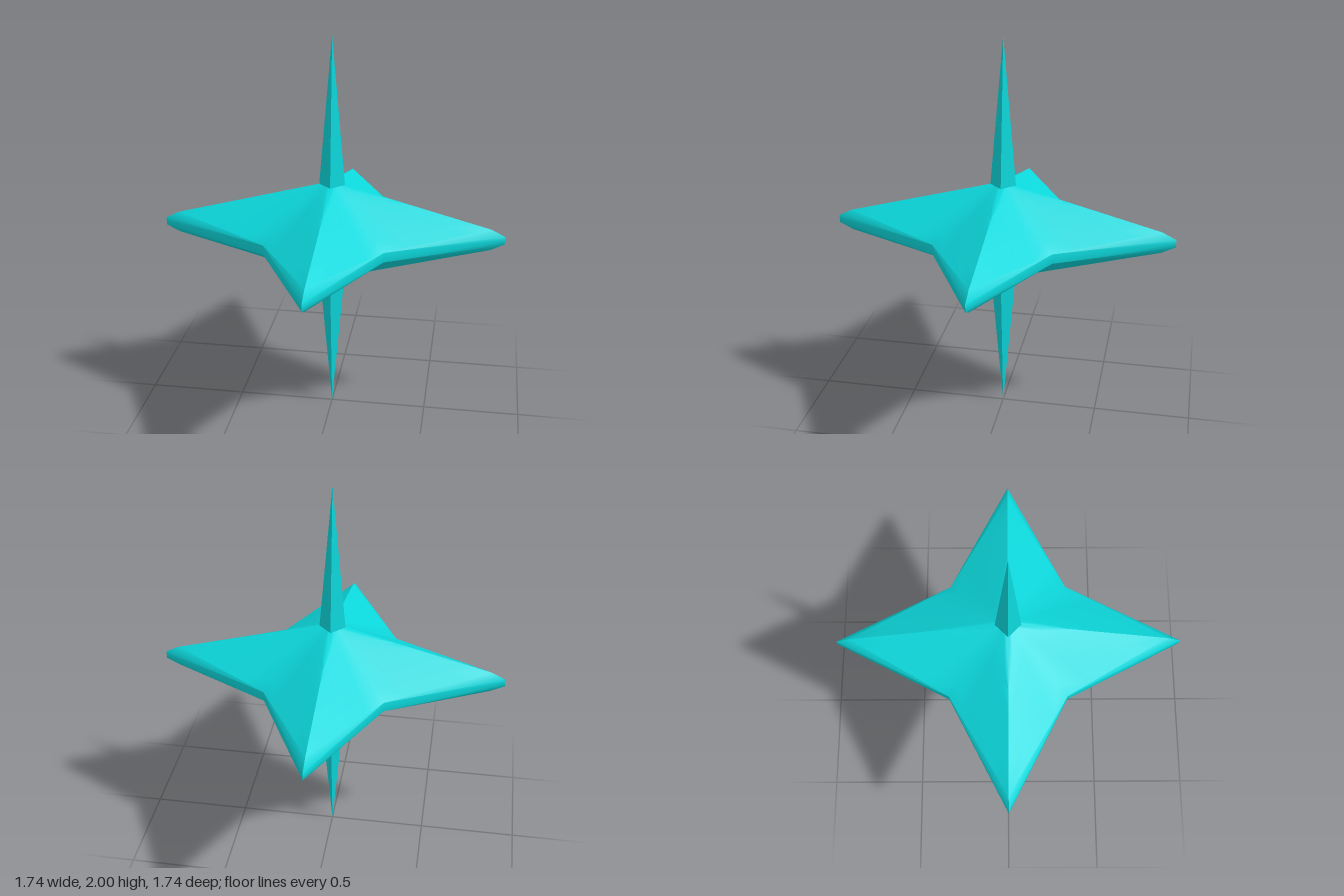
import * as THREE from 'three';
import { toCreasedNormals } from 'three/addons/utils/BufferGeometryUtils.js';

const V = (x, y, z) => new THREE.Vector3(x, y, z);
const mix = (a, b, t) => a.clone().lerp(b, t);

// One sixteenth of the star (heights relative to its middle plane), as a list of corners
function starSection() {
  const neck = V(0.065, 0.25, 0), neckMid = V(0.0325, 0.25, 0.0325);
  const ridge = V(0.8, 0.055, 0), tip = V(0.87, 0.02, 0), notch = V(0.295, 0.025, 0.295);
  const tip0 = V(0.87, 0, 0), notch0 = V(0.295, 0, 0.295);
  const out = [];
  const quad = (a, b, c, d) => out.push(a, b, d, b, c, d);

  // sloping face, slightly twisted between neck and rim
  const n = 6, m = 4;
  const at = (i, j) => mix(mix(neck, neckMid, j / m), mix(ridge, notch, j / m), i / n);
  for (let i = 0; i < n; i++)
    for (let j = 0; j < m; j++)
      quad(at(i, j), at(i, j + 1), at(i + 1, j + 1), at(i + 1, j));

  // bevelled tip: meets the last row of the face along ridge-notch
  out.push(ridge, notch, tip);
  // upright rim
  quad(tip, notch, notch0, tip0);
  return out;
}

// Repeat the section around four points, mirrored sideways and downward
function starGeometry() {
  const section = starSection(), pos = [];
  const up = V(0, 1, 0);
  for (let k = 0; k < 4; k++)
    for (const side of [1, -1])
      for (const vert of [1, -1])
        for (let i = 0; i < section.length; i += 3) {
          const order = side * vert > 0 ? [0, 1, 2] : [0, 2, 1];
          for (const o of order) {
            const p = section[i + o].clone().multiply(V(1, vert, side));
            p.applyAxisAngle(up, k * Math.PI / 2);
            pos.push(p.x, p.y, p.z);
          }
        }
  const g = new THREE.BufferGeometry();
  g.setAttribute('position', new THREE.Float32BufferAttribute(pos, 3));
  return toCreasedNormals(g, THREE.MathUtils.degToRad(50));
}

export function createModel() {
  const model = new THREE.Group();
  model.name = 'fourPointedStar';
  const smooth = new THREE.MeshStandardMaterial({ color: 0x0cd8dc });
  const flat = new THREE.MeshStandardMaterial({ color: 0x0cd8dc, flatShading: true });

  const star = new THREE.Mesh(starGeometry(), smooth);
  star.name = 'starBody';
  star.position.y = 1;
  model.add(star);

  // Four-sided spikes above and below
  for (const s of [1, -1]) {
    const spike = new THREE.Mesh(new THREE.ConeGeometry(0.065, 0.75, 4), flat);
    spike.name = s > 0 ? 'upperSpike' : 'lowerSpike';
    spike.position.y = 1 + s * 0.625;
    if (s < 0) spike.rotation.x = Math.PI;
    model.add(spike);
  }
  return model;
}
